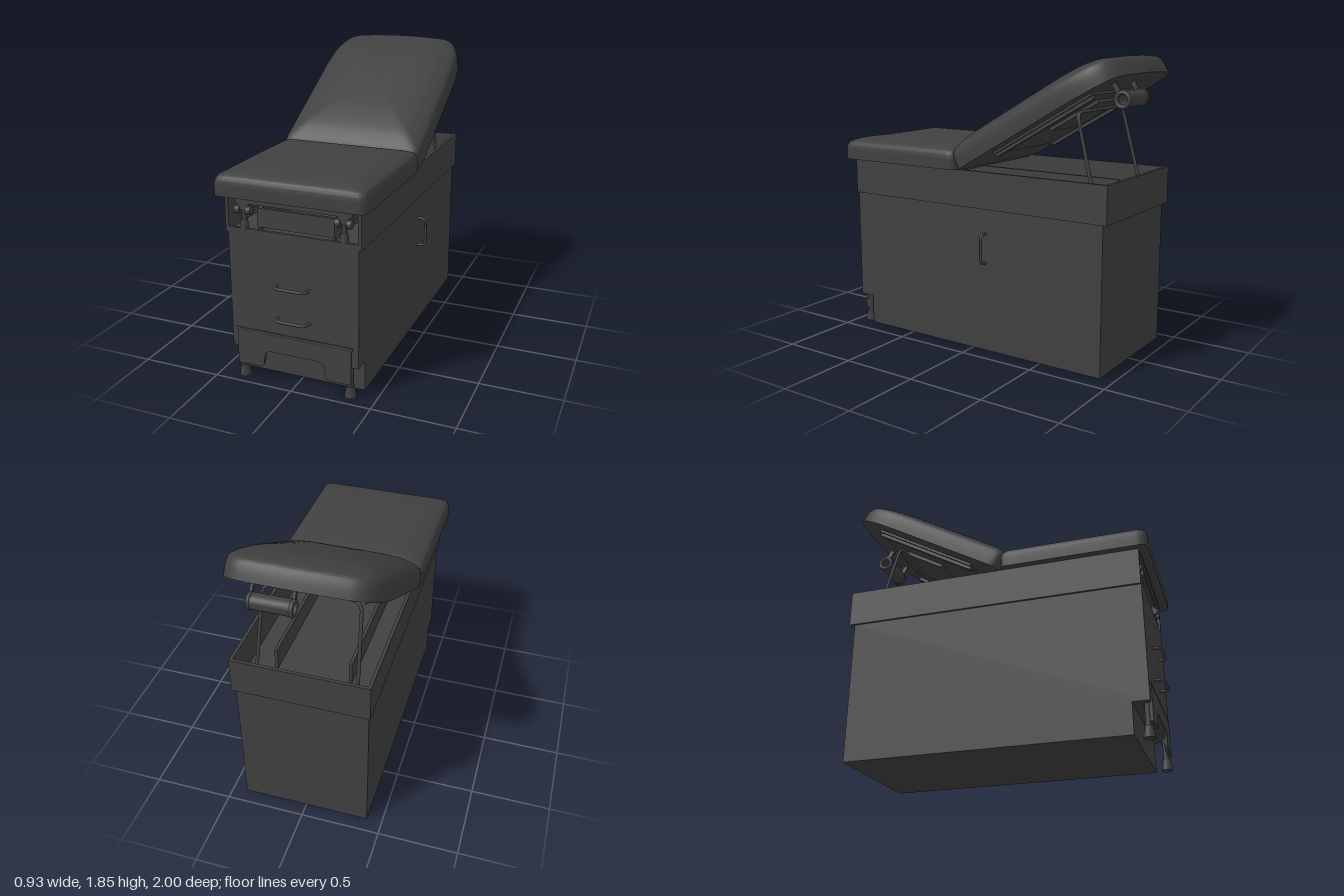
import * as THREE from 'three';
import { toCreasedNormals } from 'three/addons/utils/BufferGeometryUtils.js';

const material = new THREE.MeshStandardMaterial({ color: 0x404040, side: THREE.DoubleSide });
const V = (x, y, z) => new THREE.Vector3(x, y, z);

function add(parent, name, geometry, x = 0, y = 0, z = 0) {
  const mesh = new THREE.Mesh(geometry, material);
  mesh.name = name;
  mesh.position.set(x, y, z);
  parent.add(mesh);
  return mesh;
}

// Box given by its limits on each axis
function slab(parent, name, [x0, x1], [y0, y1], [z0, z1]) {
  return add(parent, name, new THREE.BoxGeometry(x1 - x0, y1 - y0, z1 - z0),
    (x0 + x1) / 2, (y0 + y1) / 2, (z0 + z1) / 2);
}

// Round bar through points, with rounded corners
function bar(parent, name, points, radius, bend = 0.03) {
  const path = new THREE.CurvePath();
  let from = points[0];
  for (let i = 1; i < points.length - 1; i++) {
    const p = points[i];
    const a = p.clone().add(points[i - 1].clone().sub(p).setLength(bend));
    const b = p.clone().add(points[i + 1].clone().sub(p).setLength(bend));
    path.add(new THREE.LineCurve3(from, a));
    path.add(new THREE.QuadraticBezierCurve3(a, p, b));
    from = b;
  }
  path.add(new THREE.LineCurve3(from, points[points.length - 1]));
  return add(parent, name, new THREE.TubeGeometry(path, 48, radius, 10));
}

// Padded cushion: the plan outline shrinks towards its centre while it rises along a profile
function cushionGeometry(outline, centreV, profile) {
  const plan = outline.getSpacedPoints(120).slice(0, -1);
  const n = plan.length;
  const dome = new THREE.SplineCurve(profile.map(p => new THREE.Vector2(...p))).getPoints(28);
  const rings = [new THREE.Vector2(0, 0), ...dome];
  const position = [], index = [];
  for (const ring of rings) {
    for (const p of plan) position.push(p.x * ring.x, ring.y, -(centreV + (p.y - centreV) * ring.x));
  }
  for (let k = 0; k < rings.length - 1; k++) {
    for (let i = 0; i < n; i++) {
      const j = (i + 1) % n, a = k * n, b = a + n;
      if (k > 0) index.push(a + i, a + j, b + j);
      if (k < rings.length - 2) index.push(a + i, b + j, b + i);
    }
  }
  const geometry = new THREE.BufferGeometry();
  geometry.setAttribute('position', new THREE.Float32BufferAttribute(position, 3));
  geometry.setIndex(index);
  return toCreasedNormals(geometry, 0.9);
}

export function createModel() {
  const model = new THREE.Group();
  model.name = 'examinationTable';

  // Cabinet with a toe recess at the front
  const side = new THREE.Shape();
  [[-0.92, 0.01], [0.84, 0.01], [0.84, 0.2], [0.94, 0.2], [0.94, 0.925], [-0.92, 0.925]]
    .forEach(([z, y], i) => (i ? side.lineTo(-z, y) : side.moveTo(-z, y)));
  const cabinet = add(model, 'cabinet',
    new THREE.ExtrudeGeometry(side, { depth: 0.81, bevelEnabled: false }), -0.405);
  cabinet.rotation.y = Math.PI / 2;

  // Open upper tray
  const tray = new THREE.Group();
  tray.name = 'upperTray';
  model.add(tray);
  for (const s of [-1, 1]) {
    slab(tray, 'traySide', [s * 0.41 - 0.01, s * 0.41 + 0.01], [0.92, 1.15], [-0.95, 0.94]);
    slab(tray, 'trayDivider', [s * 0.23 - 0.01, s * 0.23 + 0.01], [0.92, 1.07], [-0.7, 0.88]);
  }
  slab(tray, 'trayBack', [-0.4, 0.4], [0.92, 1.15], [-0.95, -0.93]);
  slab(tray, 'trayFloor', [-0.4, 0.4], [0.92, 0.935], [-0.93, 0.92]);
  slab(tray, 'trayFrontSill', [-0.4, 0.4], [0.92, 0.955], [0.92, 0.94]);
  slab(tray, 'trayFrontPanel', [-0.24, 0.24], [0.955, 1.07], [0.87, 0.89]);
  slab(tray, 'trayFrontRail', [-0.36, 0.36], [1.1, 1.14], [0.88, 0.93]);
  slab(tray, 'seatSupport', [-0.4, 0.4], [1.135, 1.155], [0.08, 0.945]);

  // Folded foot supports behind the front opening
  for (const s of [-1, 1]) {
    const support = new THREE.Group();
    support.name = 'footSupport';
    support.position.set(s * 0.31, 0, 0.9);
    model.add(support);
    slab(support, 'supportBracket', [-0.035, 0.035], [1.06, 1.1], [-0.3, 0.03]);
    for (const x of [-0.035, 0.035]) {
      const knob = add(support, 'supportKnob', new THREE.CylinderGeometry(0.025, 0.025, 0.03, 20), x, 1.06, 0.02);
      knob.rotation.z = Math.PI / 2;
    }
    add(support, 'supportPost', new THREE.CylinderGeometry(0.014, 0.014, 0.1, 16), 0, 1.02, 0.015);
    add(support, 'supportFoot', new THREE.CylinderGeometry(0.02, 0.027, 0.05, 16), 0, 0.98, 0.015);
  }

  // Drawer handles and side door handle
  for (const y of [0.43, 0.635]) {
    bar(model, 'drawerHandle',
      [V(-0.1, y, 0.935), V(-0.1, y, 0.99), V(0.1, y, 0.99), V(0.1, y, 0.935)], 0.009, 0.035);
  }
  bar(model, 'doorHandle',
    [V(0.4, 0.58, -0.115), V(0.456, 0.58, -0.115), V(0.456, 0.765, -0.115), V(0.4, 0.765, -0.115)], 0.009);

  // Pull-out step: front plate with hand cut-out, tread and feet
  const plate = new THREE.Shape();
  plate.moveTo(-0.37, 0.09);
  plate.lineTo(-0.22, 0.09);
  plate.quadraticCurveTo(-0.195, 0.1, -0.195, 0.14);
  plate.quadraticCurveTo(-0.195, 0.2, -0.15, 0.2);
  plate.lineTo(0.15, 0.2);
  plate.quadraticCurveTo(0.195, 0.2, 0.195, 0.14);
  plate.quadraticCurveTo(0.195, 0.1, 0.22, 0.09);
  plate.lineTo(0.36, 0.09);
  plate.lineTo(0.36, 0.31);
  plate.lineTo(-0.37, 0.31);
  add(model, 'stepFront', new THREE.ExtrudeGeometry(plate, { depth: 0.02, bevelEnabled: false }), 0, 0, 0.927);
  slab(model, 'stepTread', [-0.38, 0.37], [0.31, 0.325], [0.85, 0.946]);
  for (const s of [-1, 1]) {
    add(model, 'stepLeg', new THREE.CylinderGeometry(0.018, 0.018, 0.16, 16), s * 0.345, 0.13, 0.915);
    add(model, 'stepFoot', new THREE.LatheGeometry(
      [[0, 0], [0.035, 0], [0.035, 0.012], [0.026, 0.055], [0.026, 0.07], [0, 0.07]]
        .map(p => new THREE.Vector2(...p)), 20), s * 0.345, 0, 0.915).geometry =
      toCreasedNormals(model.children[model.children.length - 1].geometry, 0.6);
  }

  // Seat cushion
  const seat = new THREE.Shape();
  const w = 0.465, r = 0.045;
  seat.moveTo(0, -1);
  seat.lineTo(w - r, -1);
  seat.quadraticCurveTo(w, -1, w, -1 + r);
  seat.lineTo(w, -0.08 - r);
  seat.quadraticCurveTo(w, -0.08, w - r, -0.08);
  seat.lineTo(r - w, -0.08);
  seat.quadraticCurveTo(-w, -0.08, -w, -0.08 - r);
  seat.lineTo(-w, -1 + r);
  seat.quadraticCurveTo(-w, -1, r - w, -1);
  seat.closePath();
  add(model, 'seatCushion', cushionGeometry(seat, -0.54,
    [[1, 0], [1, 0.07], [0.985, 0.1], [0.95, 0.12], [0.85, 0.138], [0.7, 0.15], [0.45, 0.159], [0, 0.162]]), 0, 1.15, 0);

  // Tilted backrest
  const back = new THREE.Group();
  back.name = 'backrest';
  back.position.set(0, 1.15, 0.06);
  back.rotation.x = Math.PI / 6;
  model.add(back);
  const rest = new THREE.Shape();
  rest.moveTo(0, 0);
  rest.lineTo(w - r, 0);
  rest.quadraticCurveTo(w, 0, w, r);
  rest.lineTo(w, 0.75);
  rest.bezierCurveTo(w, 0.95, 0.455, 1.18, 0.3, 1.19);
  rest.quadraticCurveTo(0.15, 1.208, 0, 1.208);
  rest.quadraticCurveTo(-0.15, 1.208, -0.3, 1.19);
  rest.bezierCurveTo(-0.455, 1.18, -w, 0.95, -w, 0.75);
  rest.lineTo(-w, r);
  rest.quadraticCurveTo(-w, 0, r - w, 0);
  rest.closePath();
  add(back, 'backCushion', cushionGeometry(rest, 0.6,
    [[1, 0], [1, 0.06], [0.985, 0.105], [0.95, 0.128], [0.85, 0.155], [0.7, 0.178], [0.4, 0.197], [0, 0.202]]));
  slab(back, 'backBoard', [-0.36, 0.36], [-0.015, 0.01], [-1.0, -0.235]);
  for (const s of [-1, 1]) {
    slab(back, 'backRail', [s * 0.33 - 0.015, s * 0.33 + 0.015], [-0.035, -0.01], [-0.99, -0.235]);
  }
  slab(back, 'catchPlate', [-0.17, 0.17], [-0.035, -0.01], [-0.92, -0.55]);

  // Prop stay holding the backrest up
  bar(model, 'backrestStay',
    [V(-0.31, 0.94, -0.835), V(-0.29, 1.53, -0.68), V(0.29, 1.53, -0.68), V(0.31, 0.94, -0.835)], 0.011, 0.06);

  // Paper roll with its holder under the head end
  const holder = new THREE.Group();
  holder.name = 'rollHolder';
  holder.position.set(0.13, 1.61, -0.945);
  model.add(holder);
  const tube = new THREE.LatheGeometry(
    [[0.027, -0.115], [0.048, -0.115], [0.048, 0.115], [0.027, 0.115], [0.027, -0.115]]
      .map(p => new THREE.Vector2(...p)), 32);
  add(holder, 'paperRoll', toCreasedNormals(tube, 0.6)).rotation.z = Math.PI / 2;
  for (const x of [-0.12, 0.12]) {
    add(holder, 'holderRing', new THREE.TorusGeometry(0.041, 0.013, 10, 32), x).rotation.y = Math.PI / 2;
    const arm = add(holder, 'holderArm', new THREE.BoxGeometry(0.016, 0.11, 0.03), x, 0.075, 0.045);
    arm.rotation.x = Math.PI / 6;
  }
  return model;
}
